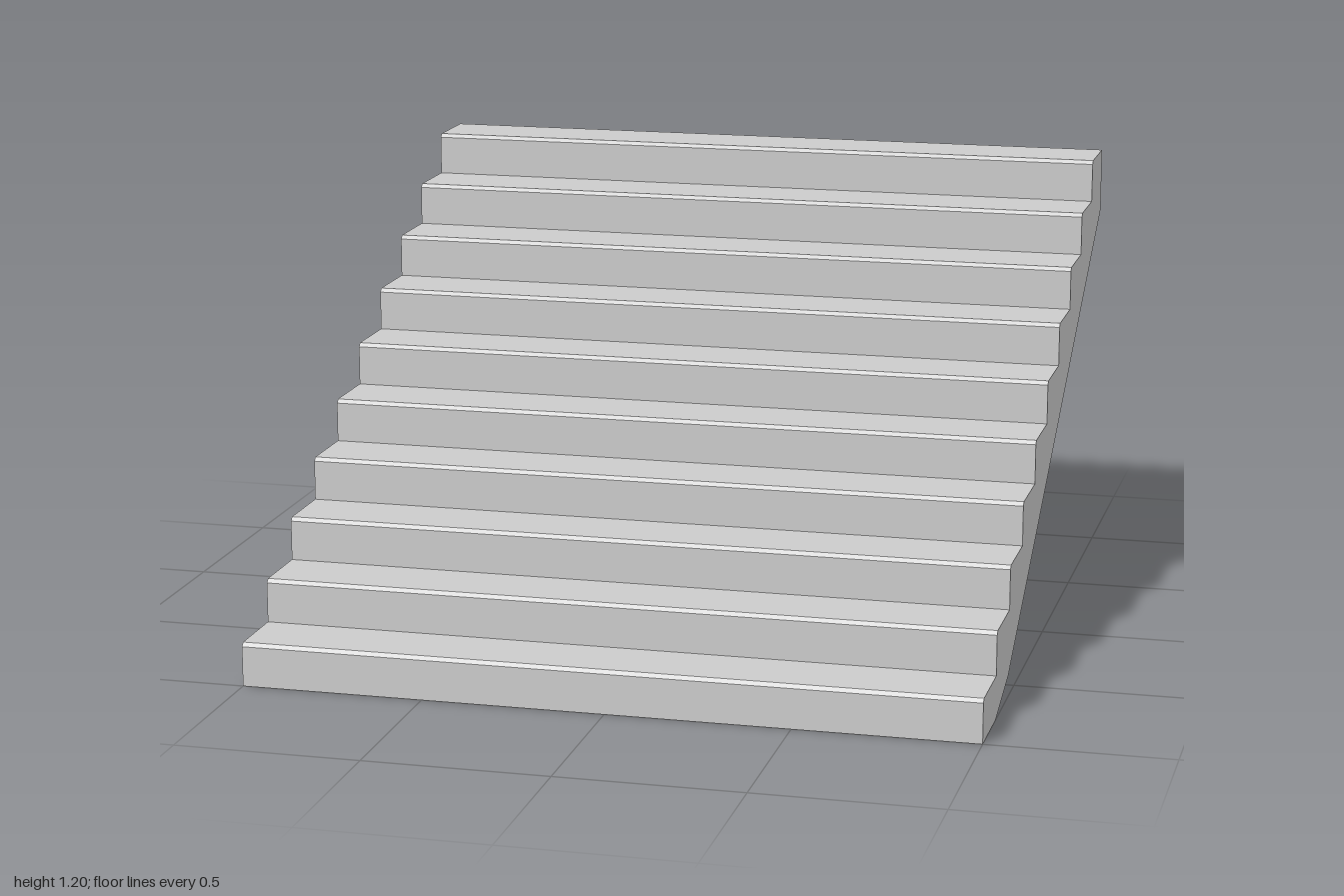
import * as THREE from 'three';

export function createModel() {
  const group = new THREE.Group();
  group.name = 'staircase';

  const steps = 10, run = 0.2, rise = 0.12, width = 2, chamfer = 0.01;

  // Side profile: x runs from the front foot (-1) to the back (+1)
  const profile = new THREE.Shape();
  profile.moveTo(-1, 0);
  profile.lineTo(-0.8, 0);
  profile.lineTo(-0.6, 0.06);
  profile.lineTo(1, 1.02);

  // Treads and risers from the top down, each nosing slightly chamfered
  for (let i = steps - 1; i >= 0; i--) {
    const front = -1 + i * run, top = (i + 1) * rise;
    profile.lineTo(front + run, top);
    profile.lineTo(front + chamfer, top);
    profile.lineTo(front, top - chamfer);
  }
  profile.closePath();

  // Extrude across the width and turn the foot towards +z
  const geometry = new THREE.ExtrudeGeometry(profile, { depth: width, bevelEnabled: false });
  geometry.translate(0, 0, -width / 2);
  geometry.rotateY(Math.PI / 2);

  const stairs = new THREE.Mesh(
    geometry,
    new THREE.MeshStandardMaterial({ color: 0xcccccc, flatShading: true })
  );
  stairs.name = 'stairFlight';
  group.add(stairs);
  return group;
}
